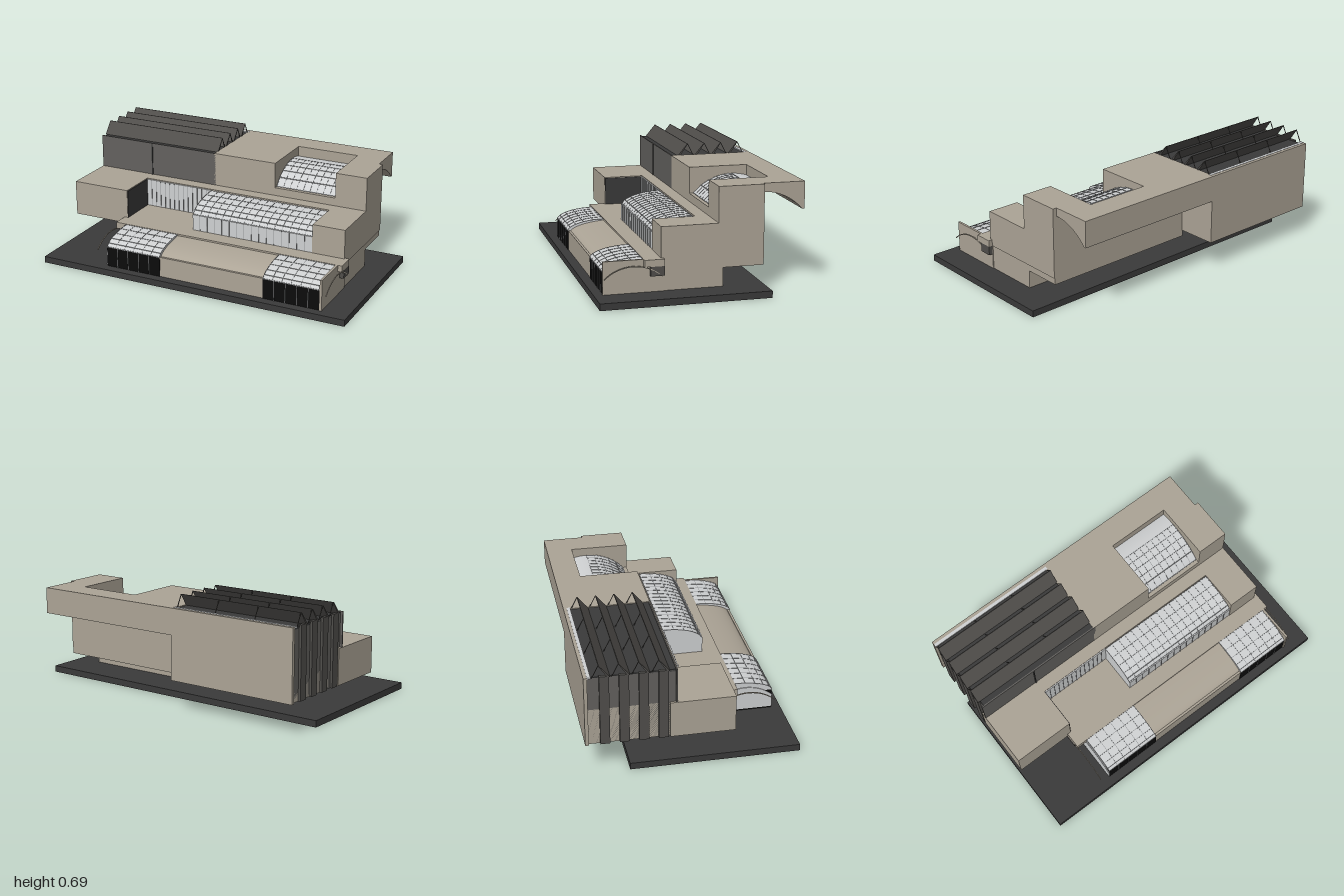
import * as THREE from 'three';

const mat = (name, color) => Object.assign(new THREE.MeshStandardMaterial({ color }), { name });

export function createModel() {
  const stone = mat('stone', 0xaca496);
  const slate = mat('darkSlate', 0x3a3a3a);
  const glass = mat('paleGlass', 0xcfd1d2);
  const black = mat('blackGlass', 0x0c0c0c);
  const smoke = mat('smokedGlass', 0x63615e);
  const louvre = mat('louvreGrey', 0x504e4b);
  const bar = mat('glazingBar', 0x96989a);
  const root = new THREE.Group();

  const add = (name, geo, m, parent = root) => {
    const mesh = new THREE.Mesh(geo, m);
    mesh.name = name;
    parent.add(mesh);
    return mesh;
  };
  // box from its limits
  const box = (name, x0, x1, y0, y1, z0, z1, m, parent) => add(name,
    new THREE.BoxGeometry(x1 - x0, y1 - y0, z1 - z0)
      .translate((x0 + x1) / 2, (y0 + y1) / 2, (z0 + z1) / 2), m, parent);
  // prism along x from a list of [z, y] points
  const prism = (name, x0, x1, pts, m, parent) => {
    const shape = new THREE.Shape(pts.map(([z, y]) => new THREE.Vector2(-z, y)));
    const geo = new THREE.ExtrudeGeometry(shape, { depth: x1 - x0, bevelEnabled: false });
    return add(name, geo.rotateY(Math.PI / 2).translate(x0, 0, 0), m, parent);
  };
  // quarter-ellipse from the crown (back) down to the eave (front)
  const quarter = (zTop, yTop, zEave, yEave, n = 20) => Array.from({ length: n + 1 }, (_, i) => {
    const a = (i / n) * Math.PI * 0.46;
    const k = Math.sin(Math.PI * 0.46), c = Math.cos(Math.PI * 0.46);
    return [zTop + (zEave - zTop) * Math.sin(a) / k,
      yEave + (yTop - yEave) * (Math.cos(a) - c) / (1 - c)];
  });
  // circular arc of half width w and rise h, between parameters t0 and t1 in -1..1
  const arc = (zc, yBase, w, h, t0, t1, n = 20) => {
    const r = (w * w + h * h) / (2 * h);
    return Array.from({ length: n + 1 }, (_, i) => {
      const d = w * (t0 + (t1 - t0) * i / n);
      return [zc + d, yBase + h - r + Math.sqrt(r * r - d * d)];
    });
  };
  // glazed vault: solid under a curve, with thin ribs and purlins on it
  const glazedVault = (name, x0, x1, curve, yBase, ribs) => {
    const g = new THREE.Group();
    g.name = name;
    root.add(g);
    const first = curve[0], last = curve[curve.length - 1];
    prism('vaultGlass', x0, x1, [[first[0], yBase], ...curve, [last[0], yBase]], glass, g);
    for (let i = 0; i <= ribs; i++) {
      const x = x0 + (x1 - x0 - 0.003) * i / ribs;
      const raised = curve.map(([z, y]) => [z, y + 0.002]);
      const low = curve.map(([z, y]) => [z, y - 0.004]).reverse();
      prism('rib', x, x + 0.003, [...raised, ...low], bar, g);
    }
    for (let i = 0; i < curve.length; i += 4) {
      const [z, y] = curve[i];
      box('purlin', x0, x1, y - 0.002, y + 0.002, z - 0.0015, z + 0.0015, bar, g);
    }
  };
  const mullions = (x0, x1, n, y0, y1, z, m) => {
    for (let i = 1; i < n; i++) {
      const x = x0 + (x1 - x0) * i / n;
      box('mullion', x - 0.0015, x + 0.0015, y0, y1, z, z + 0.003, m);
    }
  };

  // Ground slab
  box('groundSlab', -1, 1, 0, 0.04, -0.37, 0.62, slate);

  // Ground floor
  box('groundFloorCore', -0.575, 0.835, 0.04, 0.19, -0.13, 0.22, stone);
  box('rearSoffit', -0.17, 0.835, 0.15, 0.19, -0.37, -0.13, stone);
  box('terraceSlab', -0.645, 0.865, 0.19, 0.23, 0.22, 0.335, stone);
  box('groundFloorBack', -0.575, 0.835, 0.04, 0.19, 0.22, 0.335, stone);
  const lowCurve = quarter(0.335, 0.226, 0.565, 0.165);
  const stoneCurve = quarter(0.26, 0.222, 0.548, 0.16, 28);
  prism('stoneVault', -0.21, 0.47, [[0.26, 0.04], ...stoneCurve, [0.55, 0.04]], stone);
  box('frontSill', -0.21, 0.47, 0.04, 0.165, 0.548, 0.562, stone);
  for (const [x0, x1] of [[-0.575, -0.21], [0.47, 0.826]]) {
    glazedVault('entranceVault', x0, x1, lowCurve, 0.163, 6);
    box('entranceGlass', x0, x1, 0.04, 0.163, 0.335, 0.565, black);
    mullions(x0, x1, 5, 0.04, 0.163, 0.565, bar);
  }
  // End walls, arched end screens and shadowed brackets
  box('endWallLeft', 0.826, 0.84, 0.04, 0.23, 0.22, 0.57, stone);
  const arch = arc(0.4, 0.13, 0.165, 0.065, -1, 1);
  prism('archedEndWindow', -0.58, -0.575, [[0.235, 0.05], ...arch, [0.565, 0.05]], glass);
  for (const x of [-0.645, 0.86]) {
    const rim = arch.map(([z, y]) => [z, y + 0.006]).reverse();
    prism('archedScreen', x, x + 0.005, [...arch, ...rim], stone);
  }
  box('bracketRight', -0.645, -0.575, 0.135, 0.19, 0.22, 0.3, louvre);
  box('bracketLeft', 0.84, 0.865, 0.135, 0.19, 0.22, 0.3, louvre);

  // Middle floor
  box('middleRightWing', -1, -0.622, 0.19, 0.41, -0.1, 0.235, stone);
  box('middleLeftWing', 0.635, 0.84, 0.19, 0.41, -0.1, 0.235, stone);
  box('middleCore', -0.622, 0.635, 0.19, 0.41, -0.1, -0.02, stone);
  box('middleFloor', -0.622, 0.635, 0.19, 0.23, -0.02, 0.235, stone);
  box('recessSideGlass', -0.622, -0.618, 0.23, 0.405, -0.02, 0.232, slate);
  box('recessGlass', -0.618, -0.16, 0.23, 0.405, -0.02, -0.013, glass);
  mullions(-0.618, -0.16, 14, 0.23, 0.405, -0.013, bar);
  glazedVault('galleryVault', -0.16, 0.635, quarter(-0.015, 0.402, 0.225, 0.33), 0.23, 16);
  box('galleryFrontGlass', -0.16, 0.635, 0.23, 0.33, 0.225, 0.232, glass);
  mullions(-0.16, 0.635, 16, 0.23, 0.33, 0.232, bar);

  // Upper block with a roof well that opens to the front
  box('upperBody', -0.17, 0.84, 0.19, 0.46, -0.37, -0.1, stone);
  box('upperRoofRight', -0.17, 0.24, 0.46, 0.62, -0.37, -0.1, stone);
  box('upperRoofLeft', 0.64, 0.84, 0.46, 0.62, -0.37, -0.1, stone);
  const soffit = (t0) => arc(-0.365, 0.46, 0.24, 0.11, t0, -1);
  for (const [x0, x1, z, t] of [[-0.17, 0.24, -0.37, -0.02], [0.24, 0.64, -0.46, -0.4], [0.64, 0.815, -0.37, -0.02]]) {
    prism('curvedOverhang', x0, x1, [[z, 0.62], ...soffit(t), [-0.62, 0.46], [-0.62, 0.62]], stone);
  }
  // Skylight: front part rests on the body, rear part is a thin shell
  glazedVault('skylight', 0.24, 0.64, arc(-0.365, 0.46, 0.24, 0.11, 0, 1), 0.459, 9);
  const rear = arc(-0.365, 0.46, 0.24, 0.11, -0.4, 0, 8);
  prism('skylightRear', 0.24, 0.64, [...rear, ...rear.map(([z, y]) => [z, y - 0.008]).reverse()], glass);

  // Studio block: stone base and back, glazed front and side, saw-tooth roof
  box('studioBase', -0.985, -0.17, 0.19, 0.41, -0.6, -0.1, stone);
  box('studioBackWall', -1, -0.17, 0.19, 0.62, -0.62, -0.6, stone);
  box('studioInnerWall', -0.18, -0.165, 0.19, 0.62, -0.62, -0.1, stone);
  box('studioFrontGlass', -1, -0.165, 0.41, 0.62, -0.108, -0.1, smoke);
  box('studioFrontMullion', -0.63, -0.623, 0.41, 0.62, -0.1, -0.095, slate);
  box('studioSideGlass', -0.985, -0.98, 0.19, 0.61, -0.6, -0.108, smoke);
  box('studioCorner', -1, -0.98, 0.19, 0.41, -0.14, -0.1, stone);
  box('studioRoof', -0.985, -0.18, 0.6, 0.615, -0.585, -0.108, slate);
  box('rearGutter', -1, -0.17, 0.612, 0.622, -0.6, -0.58, glass);
  for (let i = 0; i < 4; i++) {
    const p = -0.205 - i * 0.11;
    prism('sawToothLouvre', -1, -0.175,
      [[p + 0.062, 0.615], [p, 0.69], [p - 0.004, 0.69], [p + 0.046, 0.615]], louvre);
    for (const x of [-0.998, -0.72, -0.45, -0.18]) {
      prism('louvreStrut', x, x + 0.004,
        [[p, 0.69], [p - 0.038, 0.615], [p - 0.042, 0.615], [p - 0.004, 0.69]], louvre);
    }
    box('sideFin', -1, -0.98, 0.19, 0.62, p, p + 0.055, louvre);
  }
  return root;
}
